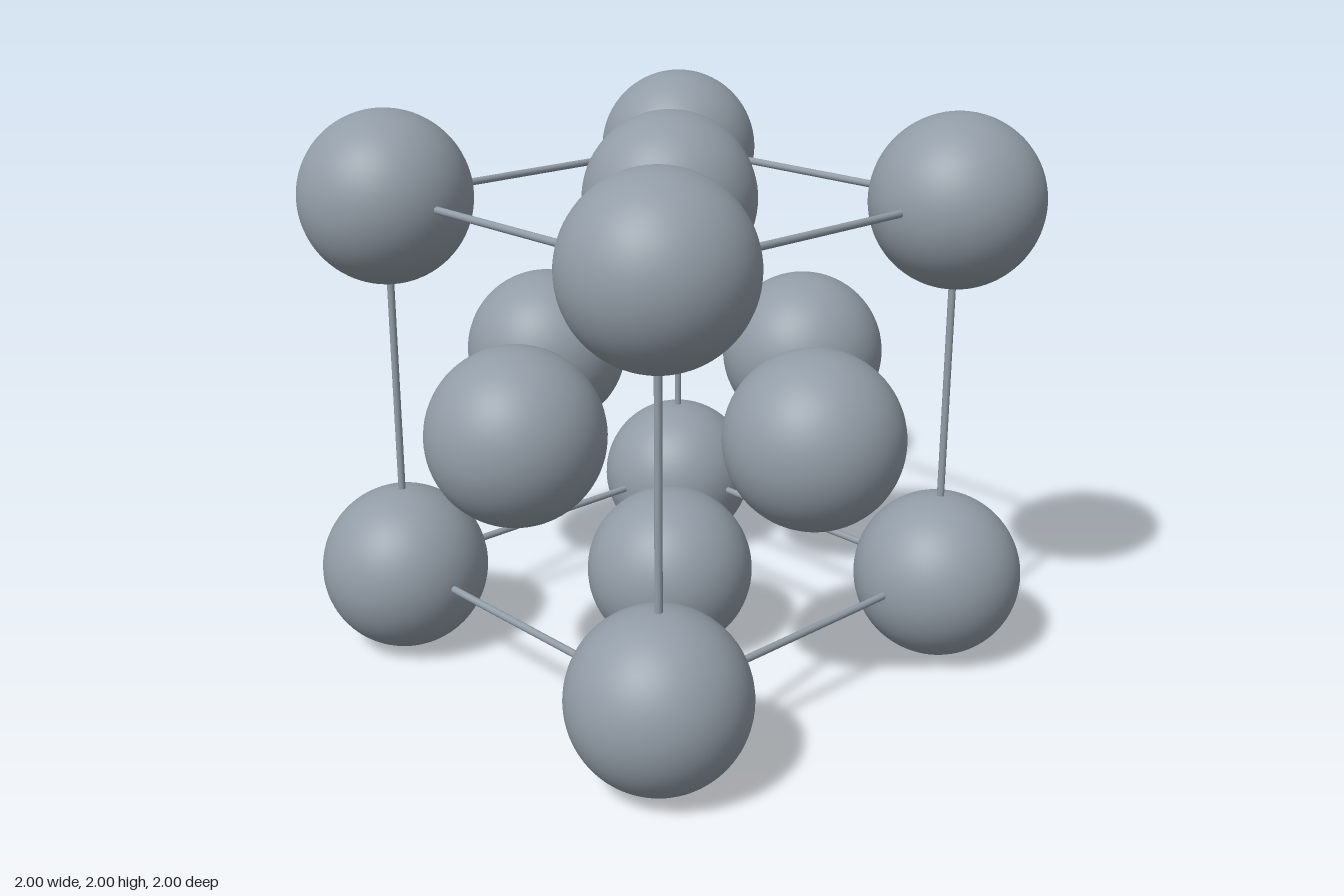
import * as THREE from 'three';

// Face-centred cubic lattice cell: balls at corners and face centres, rods along edges
export function createModel() {
  const model = new THREE.Group();
  model.name = 'latticeCell';
  const radius = 0.304, half = 1 - radius, rodRadius = 0.013;
  const material = new THREE.MeshStandardMaterial({ color: 0x929ca6 });
  const ballGeometry = new THREE.SphereGeometry(radius, 64, 40);
  const rodGeometry = new THREE.CylinderGeometry(rodRadius, rodRadius, half * 2, 20);

  const add = (name, geometry, x, y, z) => {
    const mesh = new THREE.Mesh(geometry, material);
    mesh.name = name;
    mesh.position.set(x * half, 1 + y * half, z * half);
    model.add(mesh);
    return mesh;
  };

  // Corner balls
  for (const x of [-1, 1])
    for (const y of [-1, 1])
      for (const z of [-1, 1]) add('cornerBall', ballGeometry, x, y, z);

  // Face-centre balls
  for (const s of [-1, 1]) {
    add(s > 0 ? 'leftFaceBall' : 'rightFaceBall', ballGeometry, s, 0, 0);
    add(s > 0 ? 'topFaceBall' : 'bottomFaceBall', ballGeometry, 0, s, 0);
    add(s > 0 ? 'frontFaceBall' : 'backFaceBall', ballGeometry, 0, 0, s);
  }

  // Edge rods, four along each axis
  for (const a of [-1, 1])
    for (const b of [-1, 1]) {
      add('uprightRod', rodGeometry, a, 0, b);
      add('crossRod', rodGeometry, 0, a, b).rotation.z = Math.PI / 2;
      add('depthRod', rodGeometry, a, b, 0).rotation.x = Math.PI / 2;
    }

  return model;
}
